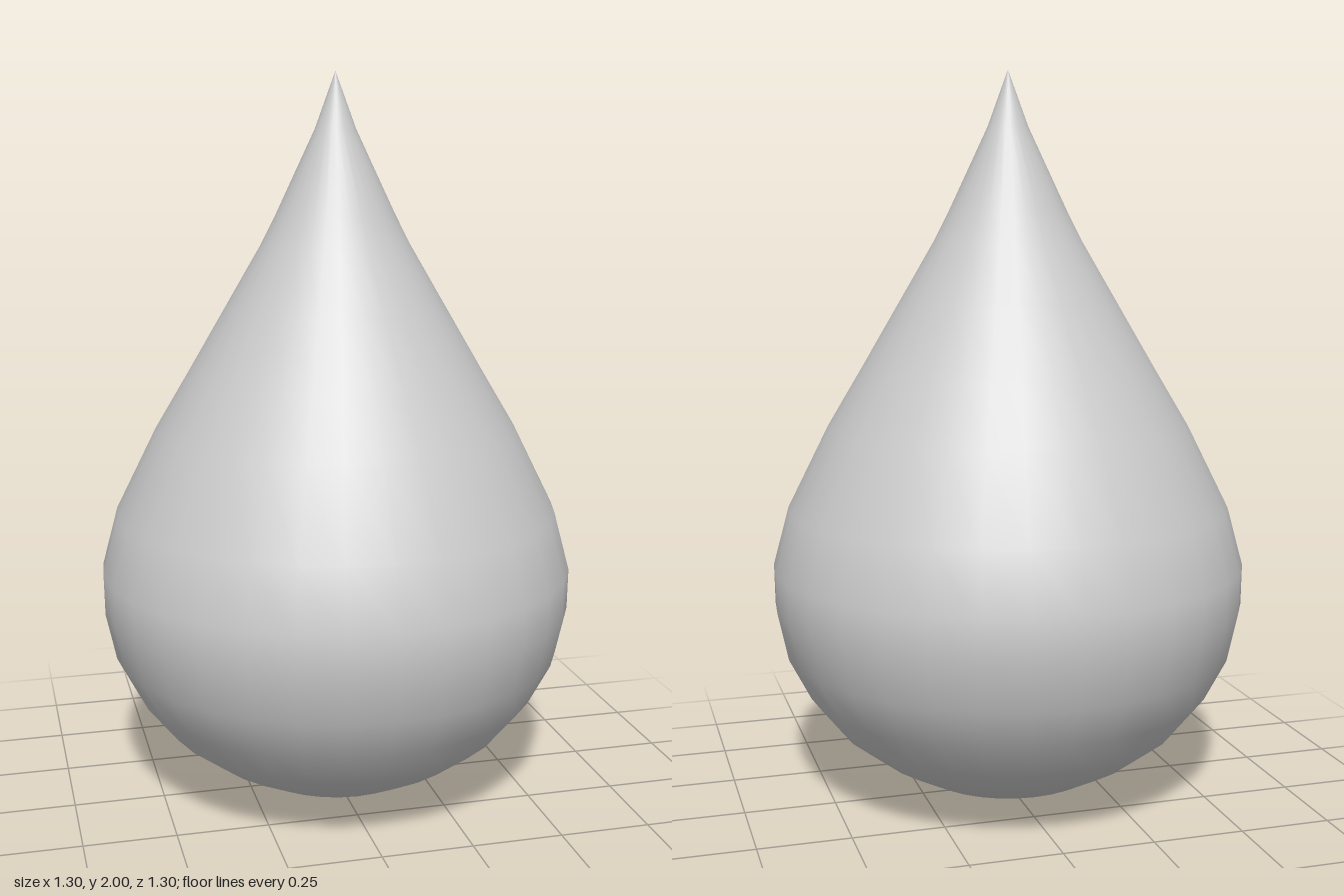
import * as THREE from 'three';

export function createModel() {
  const group = new THREE.Group();
  group.name = 'teardrop';

  // Half outline from the rounded base to the pointed tip: [radius, height]
  const outline = [
    [0, 0], [0.13, 0.015], [0.25, 0.055], [0.37, 0.12], [0.475, 0.2],
    [0.56, 0.305], [0.62, 0.42], [0.648, 0.55], [0.65, 0.66], [0.607, 0.82],
    [0.495, 1.045], [0.4, 1.205], [0.295, 1.385], [0.2, 1.548], [0.16, 1.627],
    [0.055, 1.85], [0, 2],
  ].map(([r, y]) => new THREE.Vector2(r, y));

  // Smooth body of revolution
  const body = new THREE.Mesh(
    new THREE.LatheGeometry(outline, 32),
    new THREE.MeshStandardMaterial({ color: 0xcccccc })
  );
  body.name = 'dropBody';
  group.add(body);

  return group;
}
